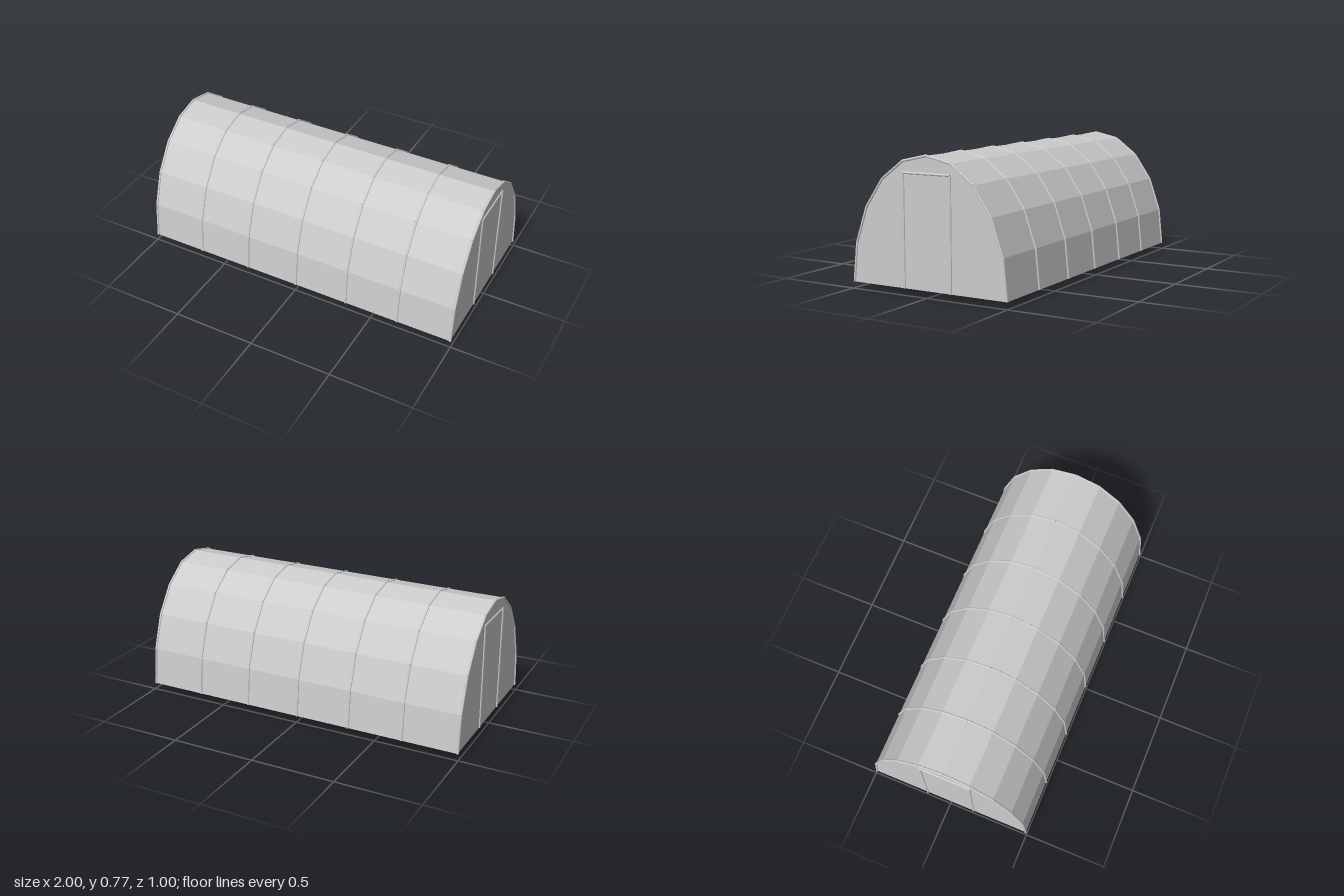
import * as THREE from 'three';

const END = 0.993;   // x of the end hoops
const BASE = 0.037;  // height of the bottom edge
const R = 0.007;     // tube radius

// Half of the arch as [z, y], from the ground to the ridge, then mirrored
const half = [[0.493, BASE], [0.47, 0.26], [0.4, 0.463], [0.29, 0.622], [0.153, 0.725], [0, 0.759]];
const arch = [...half, ...half.slice(0, -1).reverse().map(([z, y]) => [-z, y])];

export function createModel() {
  const model = new THREE.Group();
  model.name = 'hoopGreenhouse';
  const grey = new THREE.MeshStandardMaterial({ color: 0xcccccc, side: THREE.DoubleSide, flatShading: true });
  grey.name = 'light grey';

  const group = (name) => {
    const g = new THREE.Group();
    g.name = name;
    model.add(g);
    return g;
  };

  // Straight tube between two points
  const tube = (parent, name, a, b, radius = R) => {
    const from = new THREE.Vector3(...a), to = new THREE.Vector3(...b);
    const dir = to.clone().sub(from);
    const mesh = new THREE.Mesh(new THREE.CylinderGeometry(radius, radius, dir.length(), 8), grey);
    mesh.name = name;
    mesh.position.copy(from).add(to).multiplyScalar(0.5);
    mesh.quaternion.setFromUnitVectors(new THREE.Vector3(0, 1, 0), dir.normalize());
    parent.add(mesh);
  };

  // Cover: one flat panel for each side of the arch
  const cover = group('cover');
  for (let i = 0; i < arch.length - 1; i++) {
    const [z0, y0] = arch[i], [z1, y1] = arch[i + 1];
    const panel = new THREE.Mesh(new THREE.PlaneGeometry(2 * END, Math.hypot(z1 - z0, y1 - y0)), grey);
    panel.name = 'coverPanel';
    panel.position.set(0, (y0 + y1) / 2, (z0 + z1) / 2);
    panel.rotation.x = Math.atan2(z1 - z0, y1 - y0);
    cover.add(panel);
  }

  // Hoops: seven bent tubes made of straight lengths
  for (let k = -3; k <= 3; k++) {
    const hoop = group('hoop');
    const x = (k * END) / 3;
    for (let i = 0; i < arch.length - 1; i++) {
      const [z0, y0] = arch[i], [z1, y1] = arch[i + 1];
      tube(hoop, 'hoopTube', [x, y0, z0], [x, y1, z1]);
    }
  }

  // End walls with door frames
  const outline = new THREE.Shape(arch.map(([z, y]) => new THREE.Vector2(z, y)));
  for (const side of [-1, 1]) {
    const x = side * END;
    const wall = new THREE.Mesh(new THREE.ShapeGeometry(outline), grey);
    wall.name = 'endWall';
    wall.position.x = x;
    wall.rotation.y = -side * Math.PI / 2;
    model.add(wall);

    const frame = group('doorFrame');
    for (const z of [-0.15, 0.15]) tube(frame, 'doorPost', [x, BASE, z], [x, 0.663, z]);
    tube(frame, 'doorLintel', [x, 0.663, -0.15], [x, 0.663, 0.15]);
  }

  // Plant stakes in two rows, as [x, z]
  const stakes = group('plantStakes');
  const places = [
    [0.775, 0.215], [0.62, 0.23], [-0.07, 0.252], [-0.135, 0.281], [-0.455, 0.239], [-0.845, 0.277],
    [0.525, -0.224], [0.34, -0.255], [0.195, -0.26], [0.16, -0.212], [-0.585, -0.203], [-0.805, -0.28],
  ];
  for (const [x, z] of places) tube(stakes, 'stake', [x, 0, z], [x, 0.38, z], 0.004);

  return model;
}
